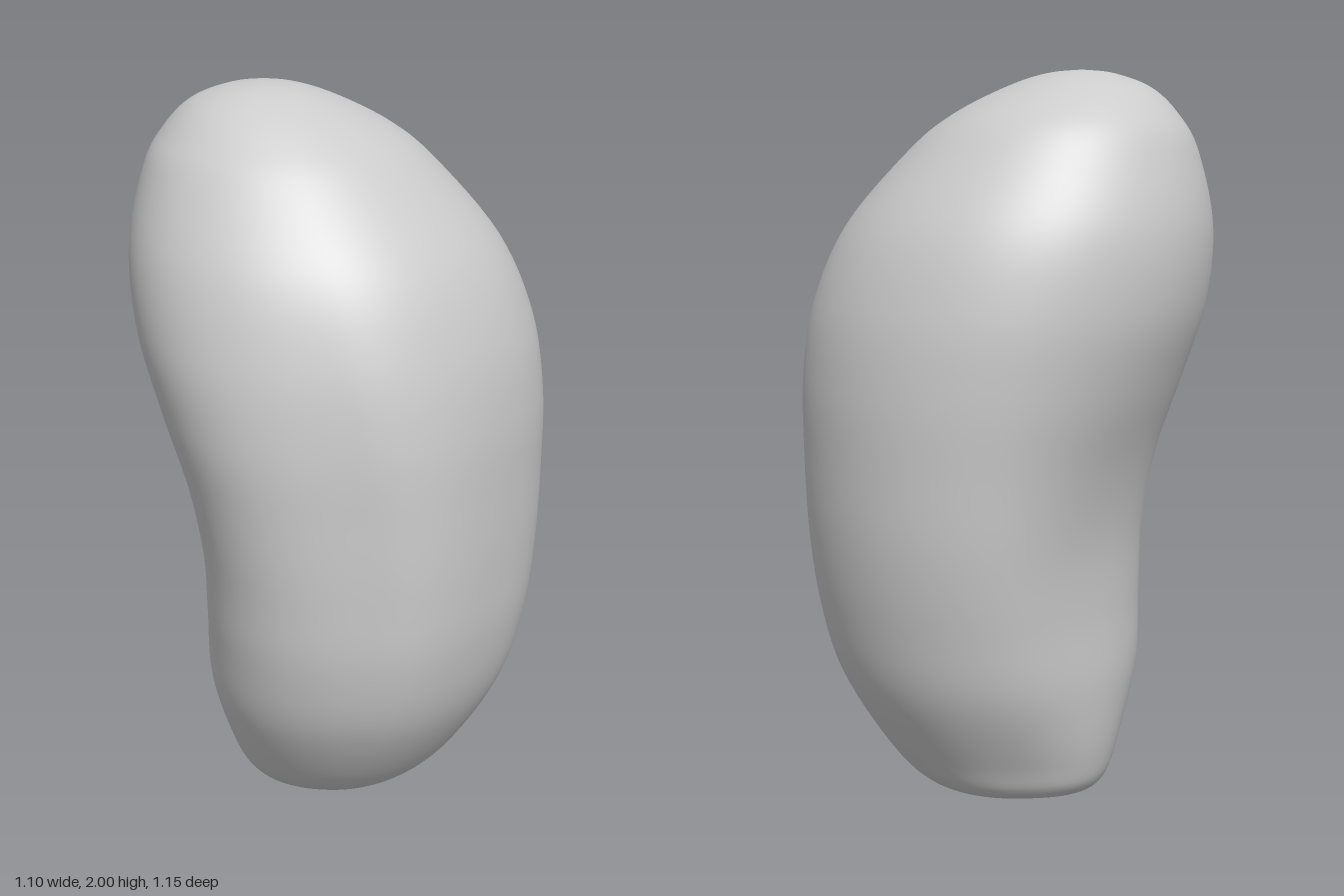
import * as THREE from 'three';

// Horizontal sections, bottom to top: y, xMin, xMax, zMin, zMax
const SECTIONS = [
  [0, -0.05, -0.05, 0.02, 0.02],
  [0.012, -0.15, 0.04, -0.03, 0.06],
  [0.04, -0.22, 0.13, -0.11, 0.12],
  [0.1, -0.275, 0.24, -0.28, 0.26],
  [0.2, -0.315, 0.34, -0.345, 0.375],
  [0.4, -0.365, 0.46, -0.445, 0.5],
  [0.6, -0.37, 0.515, -0.495, 0.555],
  [0.8, -0.375, 0.538, -0.53, 0.57],
  [1.0, -0.41, 0.545, -0.55, 0.575],
  [1.2, -0.475, 0.543, -0.567, 0.575],
  [1.4, -0.535, 0.51, -0.567, 0.55],
  [1.6, -0.548, 0.42, -0.53, 0.485],
  [1.79, -0.505, 0.255, -0.435, 0.355],
  [1.88, -0.455, 0.145, -0.36, 0.265],
  [1.95, -0.385, 0.01, -0.25, 0.165],
  [1.988, -0.29, -0.1, -0.14, 0.07],
  [2.0, -0.2, -0.2, -0.03, -0.03],
];

// Smooth curve through two columns, sharing y so all curves stay in step
const curve = (i, j) => new THREE.CatmullRomCurve3(
  SECTIONS.map((s) => new THREE.Vector3(s[i], s[0], s[j])), false, 'catmullrom', 0.5);

const bell = (y, mid, width) => Math.exp(-(((y - mid) / width) ** 2));

// Swelling or flattening of each diagonal quarter at height y
function quarterScale(t, y) {
  const quarter = Math.floor(t / (Math.PI / 2)) % 4;
  const amount = [
    -0.08 * bell(y, 0.8, 0.7),                             // front, +x: flattened
    0.14 * bell(y, 0.95, 0.65),                            // front, -x: full
    0.1 * bell(y, 0.14, 0.17) - 0.08 * bell(y, 0.75, 0.4), // back, -x: hollow above a full foot
    0,                                                     // back, +x
  ][quarter];
  return 1 + amount * Math.sin(2 * t) ** 2;
}

function bodyGeometry(rings = 96, sides = 96) {
  const xs = curve(1, 2), zs = curve(3, 4);
  const position = [], index = [];
  for (let i = 0; i <= rings; i++) {
    const px = xs.getPoint(i / rings), pz = zs.getPoint(i / rings);
    const cx = (px.x + px.z) / 2, a = (px.z - px.x) / 2;
    const cz = (pz.x + pz.z) / 2, b = (pz.z - pz.x) / 2;
    for (let j = 0; j < sides; j++) {
      const t = (j / sides) * Math.PI * 2;
      const s = quarterScale(t, px.y);
      position.push(cx + a * s * Math.cos(t), px.y, cz + b * s * Math.sin(t));
      if (i === rings) continue;
      // Two triangles per cell, one at the poles
      const k = (j + 1) % sides, lo = i * sides, hi = lo + sides;
      if (i < rings - 1) index.push(lo + j, hi + j, hi + k);
      if (i > 0) index.push(lo + j, hi + k, lo + k);
    }
  }
  // Close the top ring onto its pole
  const last = (rings - 1) * sides;
  for (let j = 0; j < sides; j++) index.push(last + j, last + sides + j, last + (j + 1) % sides);

  const geometry = new THREE.BufferGeometry();
  geometry.setAttribute('position', new THREE.Float32BufferAttribute(position, 3));
  geometry.setIndex(index.filter((v, n) => n >= 0));
  geometry.computeVertexNormals();
  // Pole vertices share one normal each
  const normal = geometry.attributes.normal;
  for (let j = 0; j < sides; j++) {
    normal.setXYZ(j, 0, -1, 0);
    normal.setXYZ(rings * sides + j, 0, 1, 0);
  }
  return geometry;
}

export function createModel() {
  const group = new THREE.Group();
  const body = new THREE.Mesh(bodyGeometry(), new THREE.MeshStandardMaterial({ color: 0xcccccc }));
  body.name = 'pebbleBody';
  group.add(body);
  return group;
}
